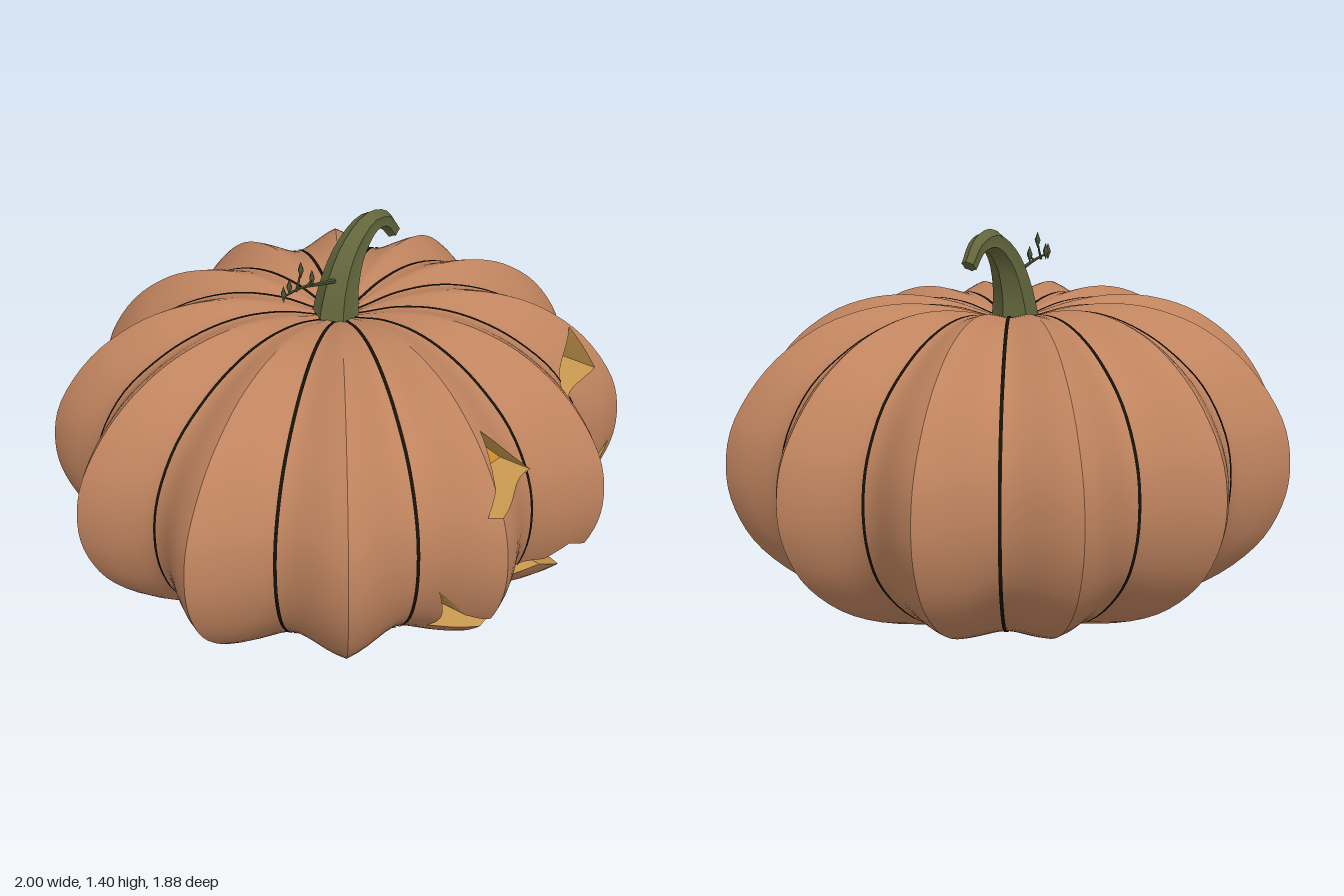
import * as THREE from 'three';
import { toCreasedNormals } from 'three/addons/utils/BufferGeometryUtils.js';

const mat = (name, color) => Object.assign(new THREE.MeshStandardMaterial({ color }), { name });
const V = (x, y, z = 0) => new THREE.Vector3(x, y, z);

const LOBES = 12, PER_LOBE = 12, ROWS = 56, Z_SCALE = 0.94;

// Vertical profiles (radius, height) along a ridge and along a valley
const curve = pts => new THREE.SplineCurve(pts.map(p => new THREE.Vector2(...p)));
const ridge = curve([[0, 0.035], [0.25, 0.055], [0.49, 0.075], [0.74, 0.17], [0.92, 0.31], [1.01, 0.46], [1.035, 0.61],
  [1.0, 0.77], [0.88, 0.94], [0.72, 1.06], [0.56, 1.12], [0.4, 1.14], [0.24, 1.125], [0.1, 1.09], [0, 1.06]]);
const valley = curve([[0, 0.035], [0.2, 0.045], [0.4, 0.07], [0.62, 0.17], [0.79, 0.32], [0.865, 0.46], [0.887, 0.61],
  [0.86, 0.76], [0.77, 0.91], [0.63, 1.02], [0.49, 1.085], [0.35, 1.115], [0.21, 1.11], [0.09, 1.08], [0, 1.06]]);

// Skin point: rounded valleys, slightly pointed ridges
function skin(s, col) {
  const t = 1 - Math.abs(1 - (2 * (col % PER_LOBE)) / PER_LOBE);
  const f = 0.5 * t * t + 0.5 * Math.sin((t * Math.PI) / 2) ** 2;
  const p = valley.getPoint(s).lerp(ridge.getPoint(s), f);
  const a = (col / (LOBES * PER_LOBE)) * Math.PI * 2;
  return V(Math.cos(a) * p.x, p.y, Math.sin(a) * p.x * Z_SCALE);
}

// Carved openings: convex outlines in front view, each with a rule for its back surface
const hole = (pts, back) => ({ pts: pts.map(p => V(...p)), back });
const eyeBack = (cx, cy, plane) => p => {
  const x = p.x + (cx - p.x) * 0.1, y = p.y + (cy - p.y) * 0.1;
  return V(x, y, Math.min(plane(x, y), p.z - 0.08));
};
const mouthBack = p => {
  const y = p.y + (0.355 - p.y) * 0.2;
  return V(p.x, y, Math.min(0.6 + (y - 0.35) - 0.5 * Math.max(0, Math.abs(p.x) - 0.3), p.z - 0.08));
};
const holes = [
  hole([[-0.29, 0.78], [0.02, 0.78], [-0.17, 0.985]], eyeBack(-0.15, 0.85, (x, y) => 0.7 - 0.5 * (y - 0.78))),
  hole([[0.295, 0.815], [0.615, 0.84], [0.575, 0.985]], eyeBack(0.5, 0.88, (x, y) => 0.69 - 0.7 * (x - 0.35) - 0.4 * (y - 0.82))),
];
// Toothed mouth as columns: x, top, bottom
const mouth = [[-0.385, 0.5, 0.5], [-0.31, 0.385, 0.26], [-0.26, 0.36, 0.285], [-0.16, 0.395, 0.335], [-0.07, 0.43, 0.295],
  [0, 0.4, 0.26], [0.12, 0.37, 0.34], [0.18, 0.43, 0.31], [0.27, 0.39, 0.26], [0.34, 0.365, 0.29], [0.44, 0.385, 0.325],
  [0.52, 0.42, 0.29], [0.6, 0.475, 0.26], [0.675, 0.53, 0.53]];
for (let i = 0; i + 1 < mouth.length; i++) {
  const [x0, t0, b0] = mouth[i], [x1, t1, b1] = mouth[i + 1];
  holes.push(hole([[x0, b0], [x1, b1], [x1, t1], [x0, t0]], mouthBack));
}

const side = (a, b, p) => (b.x - a.x) * (p.y - a.y) - (b.y - a.y) * (p.x - a.x);

// Split a polygon by the line a-b into [inside, outside]
function split(poly, a, b) {
  const inn = [], out = [];
  poly.forEach((p, i) => {
    const q = poly[(i + 1) % poly.length], dp = side(a, b, p), dq = side(a, b, q);
    if (dp >= -1e-9) inn.push(p);
    if (dp <= 1e-9) out.push(p);
    if ((dp > 1e-9 && dq < -1e-9) || (dp < -1e-9 && dq > 1e-9)) {
      const m = p.clone().lerp(q, dp / (dp - dq));
      inn.push(m);
      out.push(m);
    }
  });
  return [inn, out];
}

// Remove the openings from a polygon, reporting each removed piece
function carve(poly, onInside) {
  let frags = [poly];
  if (poly.every(p => p.z < 0.3)) return frags;
  for (const h of holes) {
    const next = [];
    for (const frag of frags) {
      let inn = frag;
      const outs = [];
      h.pts.forEach((a, i) => {
        if (inn.length < 3) return;
        const [kept, out] = split(inn, a, h.pts[(i + 1) % h.pts.length]);
        if (out.length > 2 && a.distanceTo(h.pts[(i + 1) % h.pts.length]) > 1e-6) outs.push(out);
        inn = kept;
      });
      if (inn.length < 3) next.push(frag);
      else {
        next.push(...outs);
        if (onInside) onInside(inn, h);
      }
    }
    frags = next;
  }
  return frags;
}

// Triangle soup from polygons
function soup(polys, crease) {
  const pos = [], n = new THREE.Vector3();
  for (const p of polys) for (let i = 1; i + 1 < p.length; i++) {
    n.subVectors(p[i], p[0]).cross(p[i + 1].clone().sub(p[0]));
    if (n.length() > 1e-9) for (const v of [p[0], p[i], p[i + 1]]) pos.push(v.x, v.y, v.z);
  }
  const g = new THREE.BufferGeometry();
  g.setAttribute('position', new THREE.Float32BufferAttribute(pos, 3));
  g.computeVertexNormals();
  return crease ? toCreasedNormals(g, crease) : g;
}

// Ribbed stem swept along a curve in the xy plane
function sweep(points, r0, r1, sides, rib) {
  const path = new THREE.CatmullRomCurve3(points), N = 16, rings = [], polys = [];
  for (let i = 0; i <= N; i++) {
    const u = i / N, c = path.getPoint(u), t = path.getTangent(u);
    const r = r1 + (r0 - r1) * (1 - u) ** 1.5;
    rings.push(Array.from({ length: sides }, (_, j) => {
      const a = (j / sides) * Math.PI * 2, k = r * (j % 2 ? rib : 1);
      return V(c.x - t.y * Math.cos(a) * k, c.y + t.x * Math.cos(a) * k, c.z + Math.sin(a) * k);
    }));
  }
  for (let i = 0; i < N; i++) for (let j = 0; j < sides; j++) {
    const k = (j + 1) % sides;
    polys.push([rings[i][j], rings[i][k], rings[i + 1][k], rings[i + 1][j]]);
  }
  polys.push(rings[N]);
  return soup(polys, 0.4);
}

export function createModel() {
  const rind = mat('rind', 0xc0845f), seamMat = mat('seam', 0x15110a), flesh = mat('flesh', 0xc9994f);
  const glow = mat('glow', 0xd48e2c), green = mat('stem', 0x62663c), dark = mat('twig', 0x4c5032);
  seamMat.side = flesh.side = THREE.DoubleSide;
  const group = new THREE.Group();
  const add = (name, geo, m) => {
    const mesh = new THREE.Mesh(geo, m);
    mesh.name = name;
    group.add(mesh);
    return mesh;
  };

  // Lobed body with carved openings, their walls and glowing backs
  const body = [], walls = [], backs = [];
  const inside = (poly, h) => {
    backs.push(poly.map(h.back));
    h.pts.forEach((a, i) => {
      const b = h.pts[(i + 1) % h.pts.length];
      if (Math.abs(a.x - b.x) < 1e-6) return;
      poly.forEach((p, j) => {
        const q = poly[(j + 1) % poly.length];
        if (Math.abs(side(a, b, p)) < 1e-7 && Math.abs(side(a, b, q)) < 1e-7) walls.push([p, q, h.back(q), h.back(p)]);
      });
    });
  };
  for (let i = 0; i < ROWS; i++) for (let j = 0; j < LOBES * PER_LOBE; j++) {
    const a = skin(i / ROWS, j), b = skin((i + 1) / ROWS, j), c = skin((i + 1) / ROWS, j + 1), d = skin(i / ROWS, j + 1);
    body.push(...carve([a, b, c], inside), ...carve([a, c, d], inside));
  }
  add('body', soup(body, 0.6), rind);
  add('carvedWalls', soup(walls), flesh);
  add('carvedBacks', soup(backs), glow);

  // Dark seams laid in the valleys, interrupted by the openings
  const seams = [];
  for (let k = 0; k < LOBES; k++) {
    const a = (k / LOBES) * Math.PI * 2;
    const at = (s, w) => {
      const p = valley.getPoint(s), t = valley.getTangent(s), r = p.x + t.y * 0.004;
      return V(Math.cos(a) * r - Math.sin(a) * w, p.y - t.x * 0.004, (Math.sin(a) * r + Math.cos(a) * w) * Z_SCALE);
    };
    for (let i = 1; i < ROWS - 1; i++) {
      const s = i / ROWS, e = (i + 1) / ROWS, w = 0.006;
      seams.push(...carve([at(s, -w), at(e, -w), at(e, w), at(s, w)]));
    }
  }
  add('seams', soup(seams), seamMat);

  // Root nub under the body
  const nub = add('rootNub', new THREE.ConeGeometry(0.03, 0.045, 8), rind);
  nub.rotation.x = Math.PI;
  nub.position.y = 0.0225;

  // Curved stem and side twig with buds
  add('stem', sweep([V(-0.025, 1.05), V(-0.005, 1.17), V(0.05, 1.285), V(0.14, 1.355), V(0.22, 1.345), V(0.275, 1.285)],
    0.085, 0.027, 12, 0.8), green);
  add('twig', sweep([V(-0.03, 1.21, 0.01), V(-0.12, 1.235, 0.02), V(-0.21, 1.255, 0.02), V(-0.3, 1.262, 0.03)], 0.01, 0.004, 6, 1), dark);
  [[-0.305, 1.27, 0.03], [-0.262, 1.275, 0.015], [-0.212, 1.32, 0.02], [-0.165, 1.275, 0.025]].forEach(([x, y, z], i) => {
    const bud = add('bud', new THREE.OctahedronGeometry(1), dark);
    bud.scale.set(0.012, 0.03, 0.012);
    bud.position.set(x, y, z);
    if (i > 1) add('budStalk', sweep([V(x - 0.025, 1.25, 0.02), V(x - 0.01, (y + 1.25) / 2, z), V(x, y, z)], 0.005, 0.003, 5, 1), dark);
  });
  return group;
}
